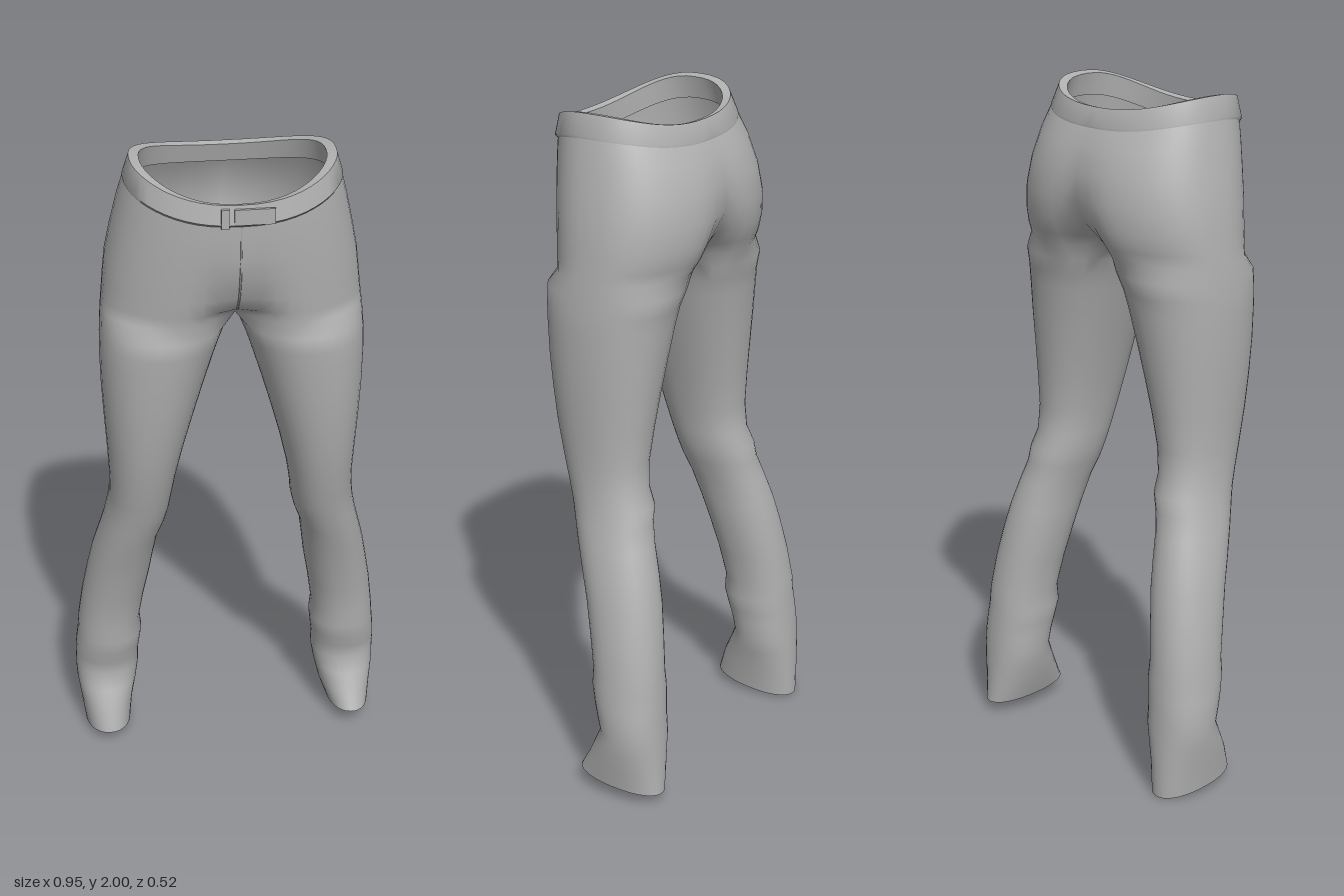
import * as THREE from 'three';
import { mergeVertices, mergeGeometries, toCreasedNormals } from 'three/addons/utils/BufferGeometryUtils.js';

const OUTER = 28, INNER = 8;          // segments round the outside and the inseam of one half
const SPREAD = 0.95;                  // how far the outside wraps past front and back of a leg
const pw = (v, e) => Math.sign(v) * Math.pow(Math.abs(v), e);

// Half of a hip section, from centre front round the side to centre back
function hipRow([y, X, zf, zb, notchF, notchB, dipF, dipB]) {
  const pts = [];
  for (let i = 0; i <= OUTER; i++) {
    const a = Math.PI * i / OUTER, c = Math.cos(a);
    const x = X * pw(Math.sin(a), 0.85);
    const groove = Math.exp(-((x / 0.085) ** 2));
    const z = (zf + zb) / 2 + (zf - zb) / 2 * pw(c, 0.85) - groove * (c > 0 ? notchF : -notchB);
    pts.push([i === 0 || i === OUTER ? 0 : x, y - (c > 0 ? dipF : dipB) * c * c, z]);
  }
  return pts;
}

// Closed leg section, starting at the inner front
function legRow([y, xi, xo, zf, zb, tilt = 0]) {
  const pts = [];
  for (let i = 0; i < OUTER + INNER; i++) {
    const a = i <= OUTER
      ? -SPREAD + (Math.PI + 2 * SPREAD) * i / OUTER
      : Math.PI + SPREAD + (Math.PI - 2 * SPREAD) * (i - OUTER) / INNER;
    const c = Math.cos(a);
    pts.push([(xi + xo) / 2 + (xo - xi) / 2 * pw(Math.sin(a), 0.92),
      y + tilt * c, (zf + zb) / 2 + (zf - zb) / 2 * pw(c, 0.92)]);
  }
  return pts;
}

// Skin between successive sections; side = -1 mirrors it
function loft(rows, side, closed) {
  const n = rows[0].length, index = [], pos = [];
  rows.forEach(r => r.forEach(([x, y, z]) => pos.push(side * x, y, z)));
  for (let r = 0; r < rows.length - 1; r++) {
    for (let i = 0; i < (closed ? n : n - 1); i++) {
      const j = (i + 1) % n;
      const a = r * n + i, b = r * n + j, c = a + n, d = b + n;
      if (side > 0) index.push(a, c, b, b, c, d);
      else index.push(a, b, c, b, d, c);
    }
  }
  const g = new THREE.BufferGeometry();
  g.setAttribute('position', new THREE.Float32BufferAttribute(pos, 3));
  g.setIndex(index);
  return g;
}

// y, half width, front z, back z, front groove, back groove, front dip, back dip
const HIPS = [
  [1.935, 0.301, 0.249, -0.169, 0, 0, 0.065, 0.035],
  [1.87, 0.318, 0.248, -0.2, 0, 0.005, 0.04, 0.02],
  [1.78, 0.338, 0.244, -0.227, 0, 0.012, 0.02, 0],
  [1.7, 0.354, 0.238, -0.238, 0.008, 0.022, 0, 0],
  [1.63, 0.362, 0.232, -0.234, 0.03, 0.05, 0, 0],
  [1.58, 0.367, 0.226, -0.22, 0.065, 0.085, 0, 0],
  [1.545, 0.371, 0.221, -0.203, 0.115, 0.11, 0, 0],
];

// y, inner x, outer x, front z, back z, tilt
const LEG = [
  [1.5, 0.018, 0.375, 0.217, -0.182],
  [1.45, 0.038, 0.378, 0.214, -0.168],
  [1.4, 0.055, 0.379, 0.209, -0.16],
  [1.3, 0.086, 0.377, 0.199, -0.148],
  [1.2, 0.115, 0.372, 0.185, -0.136],
  [1.1, 0.142, 0.366, 0.168, -0.125],
  [1.0, 0.165, 0.361, 0.145, -0.116],
  [0.92, 0.178, 0.363, 0.122, -0.12],
  [0.87, 0.184, 0.37, 0.107, -0.143],
  [0.82, 0.196, 0.38, 0.092, -0.146],
  [0.76, 0.217, 0.395, 0.072, -0.164],
  [0.68, 0.229, 0.416, 0.045, -0.187],
  [0.6, 0.24, 0.432, 0.02, -0.205],
  [0.5, 0.258, 0.45, -0.005, -0.222],
  [0.4, 0.273, 0.463, -0.025, -0.235],
  [0.35, 0.268, 0.467, -0.022, -0.239],
  [0.3, 0.274, 0.473, -0.034, -0.243],
  [0.26, 0.279, 0.476, -0.045, -0.246],
  [0.21, 0.279, 0.477, -0.058, -0.249],
  [0.16, 0.288, 0.474, -0.036, -0.252],
  [0.1, 0.302, 0.465, -0.01, -0.255, 0.005],
];

// Waistband section: folded inside, rim, outside, tuck under
const BAND = [
  [1.93, 0.268, 0.228, -0.142, 0, 0, 0.065, 0.035],
  [1.995, 0.256, 0.23, -0.128, 0, 0, 0.07, 0.045],
  [2.0, 0.284, 0.25, -0.147, 0, 0, 0.07, 0.045],
  [1.94, 0.302, 0.26, -0.17, 0, 0, 0.065, 0.035],
  [1.93, 0.301, 0.247, -0.169, 0, 0, 0.065, 0.035],
];

export function createModel() {
  const model = new THREE.Group();
  const cloth = new THREE.MeshStandardMaterial({ color: 0xb0b0b0, side: THREE.DoubleSide });
  cloth.name = 'grey cloth';
  const add = (name, geometry) => {
    const mesh = new THREE.Mesh(geometry, cloth);
    mesh.name = name;
    model.add(mesh);
    return mesh;
  };

  // Hips and legs in one continuous skin, joined at the centre seam
  const parts = [];
  for (const side of [1, -1]) {
    const hips = HIPS.map(hipRow);
    const crotch = hips[hips.length - 1].slice();
    const front = crotch[0], back = crotch[OUTER];
    for (let k = 1; k < INNER; k++) {
      crotch.push([0, front[1], back[2] + (front[2] - back[2]) * k / INNER]);
    }
    const hem = side > 0 ? [0.04, 0.324, 0.456, 0.02, -0.26, 0.01] : [0.016, 0.312, 0.454, 0.012, -0.256, 0.016];
    parts.push(loft(hips, side, false), loft([crotch, ...LEG.map(legRow), legRow(hem)], side, true));
  }
  const skin = mergeVertices(mergeGeometries(parts), 1e-4);
  skin.computeVertexNormals();
  add('trousers', skin);

  // Waistband with a folded rim
  const band = BAND.map(hipRow);
  const bandSkin = mergeVertices(mergeGeometries([1, -1].map(s => loft(band, s, false))), 1e-4);
  add('waistband', toCreasedNormals(bandSkin, 0.8));

  // Overlapping front tab and belt loop
  add('frontTab', new THREE.BoxGeometry(0.11, 0.045, 0.008)).position.set(0.035, 1.898, 0.257);
  add('beltLoop', new THREE.BoxGeometry(0.022, 0.056, 0.01)).position.set(-0.045, 1.894, 0.257);

  // Fly seam
  const fly = new THREE.CatmullRomCurve3([[1.87, 0.248], [1.78, 0.244], [1.7, 0.23], [1.63, 0.202], [1.58, 0.161]]
    .map(([y, z]) => new THREE.Vector3(0, y, z)));
  add('flySeam', new THREE.TubeGeometry(fly, 16, 0.003, 6));

  return model;
}
